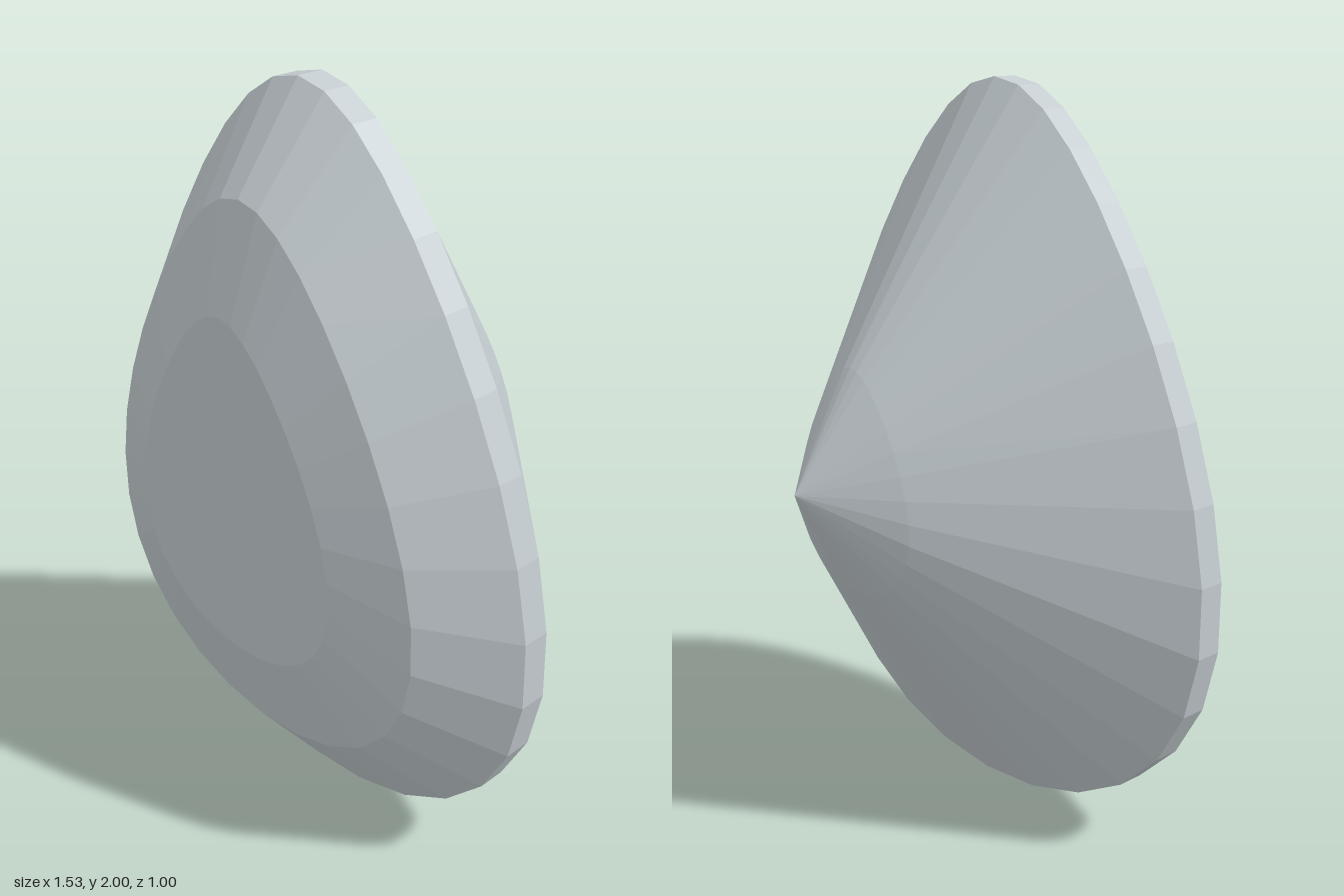
import * as THREE from 'three';

const SIDES = 32;

// Pear outline around (0, 1), scaled towards its centre and set at depth z
function ring({ scale, z }) {
  return Array.from({ length: SIDES }, (_, i) => {
    const a = (i / SIDES) * Math.PI * 2;
    const x = Math.sin(a) * (0.726 - 0.272 * Math.cos(a));
    return [x * scale, 1 + Math.cos(a) * scale, z];
  });
}

// Facets joining rings listed from back to front; a ring of scale 0 is a point
function facets(levels) {
  const rings = levels.map(ring);
  const pos = [];
  for (let k = 0; k < rings.length - 1; k++) {
    const back = rings[k], front = rings[k + 1];
    for (let i = 0; i < SIDES; i++) {
      const j = (i + 1) % SIDES;
      if (levels[k].scale > 0) pos.push(...back[i], ...front[i], ...back[j]);
      if (levels[k + 1].scale > 0) pos.push(...back[j], ...front[i], ...front[j]);
    }
  }
  const geometry = new THREE.BufferGeometry();
  geometry.setAttribute('position', new THREE.Float32BufferAttribute(pos, 3));
  geometry.computeVertexNormals();
  return geometry;
}

export function createModel() {
  const gem = new THREE.Group();
  gem.name = 'pearCutGem';

  const material = new THREE.MeshStandardMaterial({ color: 0xc4ccd0, flatShading: true });
  material.name = 'paleGrey';

  const culet = { scale: 0, z: -0.5 };
  const pavilionBreak = { scale: 0.3, z: -0.32 };
  const girdleBack = { scale: 1, z: 0.165 };
  const girdleFront = { scale: 1, z: 0.24 };
  const crownBreak = { scale: 0.75, z: 0.43 };
  const tableEdge = { scale: 0.478, z: 0.505 };
  const tableCentre = { scale: 0, z: 0.505 };

  const parts = {
    pavilion: [culet, pavilionBreak, girdleBack], // pointed back
    girdle: [girdleBack, girdleFront],            // thin rim
    crown: [girdleFront, crownBreak, tableEdge],  // bevelled front
    table: [tableEdge, tableCentre],              // flat front face
  };
  for (const [name, levels] of Object.entries(parts)) {
    const mesh = new THREE.Mesh(facets(levels), material);
    mesh.name = name;
    gem.add(mesh);
  }
  return gem;
}
